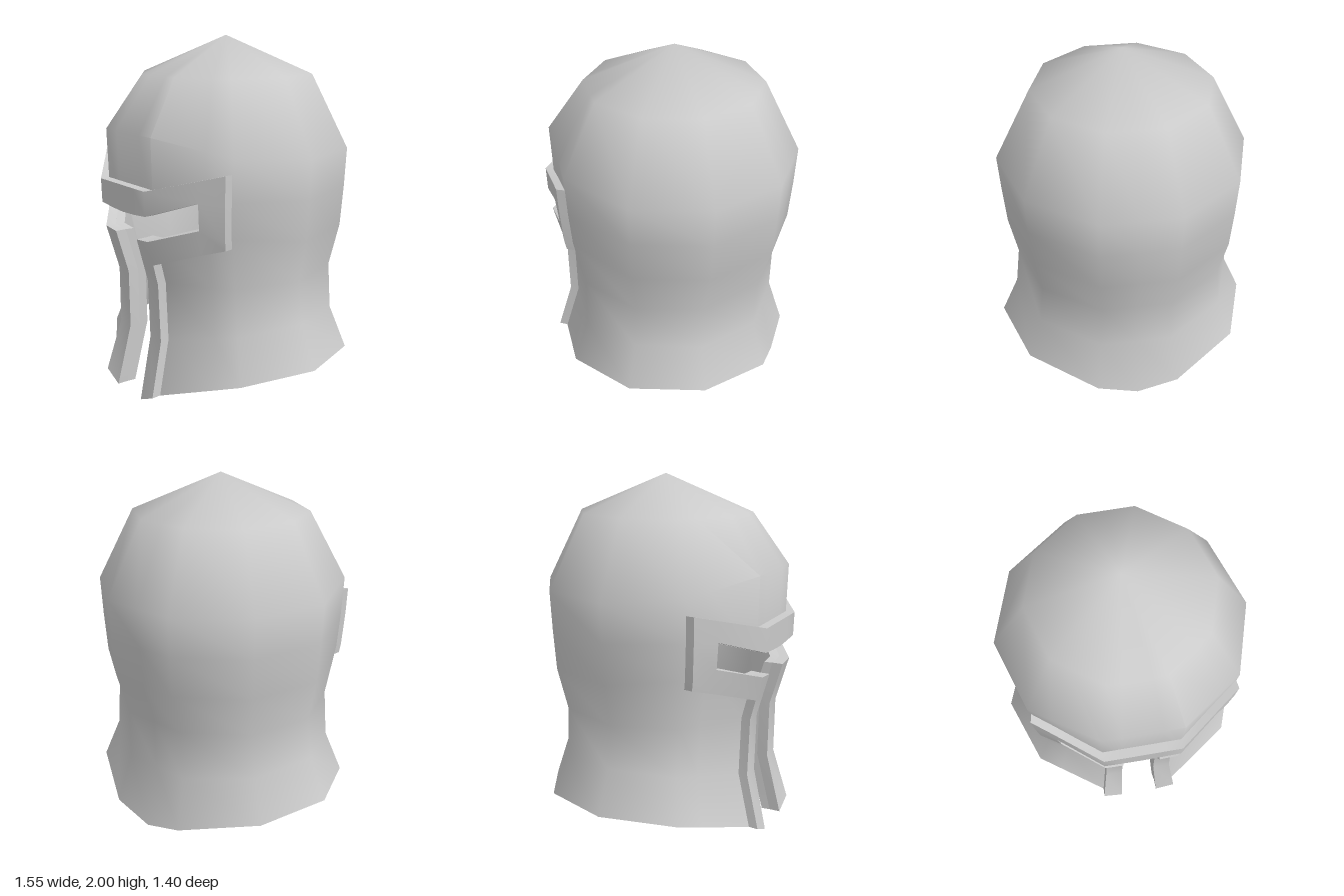
import * as THREE from 'three';
import { toCreasedNormals } from 'three/addons/utils/BufferGeometryUtils.js';

const STEP = Math.PI / 5; // ten-sided cross-section
const CENTER_Z = -0.02;
const WALL = 0.06;
const RAISE = 0.053;

// Half-widths of the shell in x and z, from the lower rim up to the apex
const RX = [0.775, 0.67, 0.64, 0.685, 0.7, 0.71, 0.5, 0];
const RZ = [0.695, 0.605, 0.61, 0.683, 0.7, 0.71, 0.5, 0];

// Half of the columns, back centre to front centre: side position k, then row heights
const HALF = [
  [-2.5, 0.05, 0.4, 0.69, 0.93, 1.16, 1.38],
  [-2, 0.12, 0.4, 0.69, 0.93, 1.16, 1.38],
  [-1, 0.19, 0.43, 0.69, 0.93, 1.16, 1.38],
  [0, 0.21, 0.45, 0.69, 0.93, 1.16, 1.38],
  [1, 0.18, 0.42, 0.69, 0.98, 1.18, 1.41],
  [1.33, 0.14, 0.4, 0.69, 1.03, 1.18, 1.44],
  [2, 0.06, 0.36, 0.69, 0.95, 1.09, 1.5],
  [2.25, 0.005, 0.36, 0.69, 0.94, 1.08, 1.5],
  [2.5, 0, 0.36, 0.69, 0.94, 1.075, 1.5],
];

// Lower and upper edge of the raised visor, for the last five columns
const VISOR_EDGES = [[0.93, 1.33], [0.89, 1.295], [0.81, 1.225], [0.81, 1.225], [0.81, 1.225]];

const heights = (col) => [...col.slice(1), 1.79, 2];

// Point on the ten-sided outline at side position k
function outline(k) {
  const i = Math.floor(k), f = k - i;
  const mix = (fn) => fn(i * STEP) * (1 - f) + fn((i + 1) * STEP) * f;
  return [mix(Math.cos), mix(Math.sin)];
}

// Shell point in a column at height y, moved inwards by inset and forwards by dz
function shellPoint(col, y, inset = 0, dz = 0) {
  const ys = heights(col);
  let i = 0;
  while (i < ys.length - 2 && y > ys[i + 1]) i++;
  const f = (y - ys[i]) / (ys[i + 1] - ys[i]);
  const [c, s] = outline(col[0]);
  const radius = (R) => Math.max(0, R[i] + (R[i + 1] - R[i]) * f - inset);
  const drop = y > 1.9 ? inset : y > 1.7 ? inset * 0.5 : 0;
  return new THREE.Vector3(c * radius(RX), y - drop, CENTER_Z + s * radius(RZ) + dz);
}

// Mirror half columns across x = 0 (the last one is the centre)
function mirrorColumns(half) {
  const flip = (p) => new THREE.Vector3(-p.x, p.y, p.z);
  return [...half, ...half.slice(0, -1).reverse().map((col) => col.map(flip))];
}

// Solid plate from outer and inner point grids; only cells where keep() holds,
// with side walls wherever a kept cell borders an absent one
function plate(outer, inner, keep, closed) {
  const n = outer.length, rows = outer[0].length;
  const cells = closed ? n : n - 1;
  const has = (i, j) => {
    if (closed) i = (i + n) % n;
    return i >= 0 && i < cells && j >= 0 && j < rows - 1 && keep(i, j);
  };
  const pos = [];
  const tri = (a, b, c) => {
    const area = b.clone().sub(a).cross(c.clone().sub(a)).length();
    if (area > 1e-7) for (const p of [a, b, c]) pos.push(p.x, p.y, p.z);
  };
  const quad = (a, b, c, d) => { tri(a, b, c); tri(a, c, d); };
  for (let i = 0; i < cells; i++) {
    for (let j = 0; j < rows - 1; j++) {
      if (!has(i, j)) continue;
      const i2 = (i + 1) % n;
      const ring = (g) => [g[i][j], g[i][j + 1], g[i2][j + 1], g[i2][j]];
      const o = ring(outer), q = ring(inner);
      quad(...o);
      quad(q[3], q[2], q[1], q[0]);
      const open = [!has(i - 1, j), j < rows - 2 && !has(i, j + 1) || (j === rows - 2 && !closed),
        !has(i + 1, j), !has(i, j - 1)];
      open.forEach((isOpen, e) => {
        const f = (e + 1) % 4;
        if (isOpen) quad(o[f], o[e], q[e], q[f]);
      });
    }
  }
  const geometry = new THREE.BufferGeometry();
  geometry.setAttribute('position', new THREE.Float32BufferAttribute(pos, 3));
  return toCreasedNormals(geometry, THREE.MathUtils.degToRad(50));
}

export function createModel() {
  const helmet = new THREE.Group();
  helmet.name = 'helmet';
  const material = new THREE.MeshStandardMaterial({ color: 0xcccccc, side: THREE.DoubleSide });
  const add = (name, geometry) => {
    const mesh = new THREE.Mesh(geometry, material);
    mesh.name = name;
    helmet.add(mesh);
  };

  // Hollow shell with a T-shaped opening for eyes, nose and mouth
  const shellGrid = (inset) => {
    const cols = mirrorColumns(HALF.map((col) => heights(col).map((y) => shellPoint(col, y, inset))));
    return cols.slice(0, -1); // the back centre column closes the ring
  };
  const last = HALF.length - 2; // cell next to the front centre
  const shellKeep = (i, j) => {
    const h = i <= last ? i : 2 * last + 1 - i;
    if (h === last) return j > 3;
    return !(h >= last - 2 && j === 3);
  };
  add('shell', plate(shellGrid(0), shellGrid(WALL), shellKeep, true));

  // Raised visor frame around the eyes, running down both cheek edges
  const front = HALF.slice(4);
  const visorGrid = (inset, dz) => mirrorColumns(front.map((col, i) => {
    const [low, high] = VISOR_EDGES[i];
    const slotLow = Math.max(col[4], low + 0.05);
    return [col[1], col[2], col[3], low, slotLow, col[5], high]
      .map((y) => shellPoint(col, y, inset, dz));
  }));
  const visorRows = [[3, 4, 5], [3, 5], [0, 1, 2, 3, 5], [5]];
  const visorKeep = (i, j) => visorRows[i < 4 ? i : 7 - i].includes(j);
  add('visorFrame', plate(visorGrid(0, RAISE), visorGrid(0.01, 0), visorKeep, false));

  return helmet;
}
